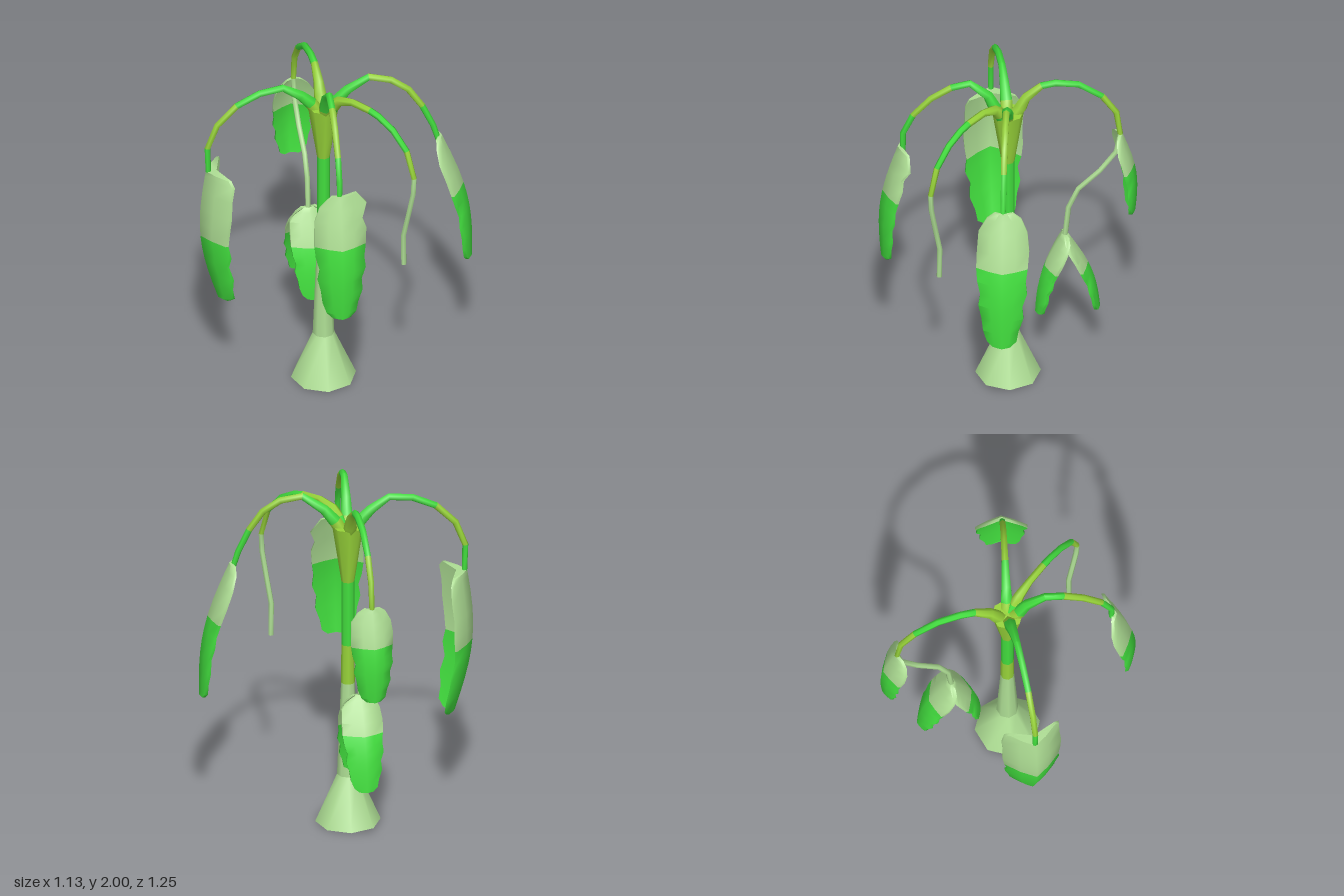
import * as THREE from 'three';
import { toCreasedNormals } from 'three/addons/utils/BufferGeometryUtils.js';

const flatColour = (name, color) => {
  const m = new THREE.MeshStandardMaterial({ color, side: THREE.DoubleSide });
  m.name = name;
  return m;
};
const pale = flatColour('pale green', 0xaede94);
const green = flatColour('bright green', 0x42de3e);
const olive = flatColour('olive green', 0x98d43a);
const materials = [pale, green, olive];
const CODE = { P: 0, G: 1, O: 2 };

// Joins closed rings of points into a smooth, capped solid; one colour letter per band
function loft(name, rings, colours) {
  const pos = [];
  const geo = new THREE.BufferGeometry();
  const tri = (...pts) => pts.forEach((p) => pos.push(p.x, p.y, p.z));
  const cap = (ring, flip) => {
    const mid = ring.reduce((s, p) => s.add(p), new THREE.Vector3()).divideScalar(ring.length);
    ring.forEach((p, j) => {
      const q = ring[(j + 1) % ring.length];
      if (flip) tri(mid, q, p); else tri(mid, p, q);
    });
  };
  for (let i = 0; i < rings.length - 1; i++) {
    const first = pos.length / 3, a = rings[i], b = rings[i + 1];
    if (i === 0) cap(a, true);
    a.forEach((p, j) => {
      const k = (j + 1) % a.length;
      tri(p, a[k], b[k]);
      tri(p, b[k], b[j]);
    });
    if (i === rings.length - 2) cap(b, false);
    geo.addGroup(first, pos.length / 3 - first, CODE[colours[i]]);
  }
  geo.setAttribute('position', new THREE.Float32BufferAttribute(pos, 3));
  const mesh = new THREE.Mesh(toCreasedNormals(geo, 1.15), materials);
  mesh.name = name;
  return mesh;
}

// Tapered stem in the local yz plane; path entries are [outward, height, radius]
function stem(name, path, colours, sides = 6) {
  const side = new THREE.Vector3(1, 0, 0);
  const pts = path.map(([r, y]) => new THREE.Vector3(0, y, r));
  const rings = pts.map((p, i) => {
    const t = pts[Math.min(i + 1, pts.length - 1)].clone().sub(pts[Math.max(i - 1, 0)]).normalize();
    const n = side.clone().cross(t);
    return Array.from({ length: sides }, (_, j) => {
      const a = (j / sides) * Math.PI * 2;
      return p.clone().addScaledVector(n, Math.cos(a) * path[i][2]).addScaledVector(side, Math.sin(a) * path[i][2]);
    });
  });
  return loft(name, rings, colours);
}

// Leaf outlines with ragged edges: [distance down, left width, right width]
const ROUND_TOP = [[0, 0.36, 0.32], [0.05, 0.68, 0.62], [0.15, 0.92, 0.93]];
const SQUARE_TOP = [[0, 0.8, 0.75], [0.04, 0.95, 0.9], [0.15, 0.95, 1]];
const UNEVEN_TOP = [[0, 0.65, 0.3], [0.1, 1.05, 0.75], [0.2, 0.86, 0.94]];
const BODY = [
  [0.28, 1, 0.98], [0.4, 0.95, 1], [0.5, 0.88, 0.95], [0.59, 0.93, 0.83], [0.68, 0.76, 0.9],
  [0.78, 0.8, 0.78], [0.88, 0.62, 0.72], [0.96, 0.55, 0.58], [1, 0.32, 0.36],
];

// Hanging leaf, folded along its midrib, pale above and bright below
function leaf(name, { height, width, out, bow, fold, split = 4, top = ROUND_TOP }) {
  const rows = [...top, ...BODY];
  const thick = 0.016;
  const rings = rows.map(([t, wl, wr]) => {
    const mid = out * t + bow * Math.sin(Math.PI * t);
    const at = (u, back) => {
      const w = u > 0 ? wl : wr;
      const z = mid - fold * w * Math.abs(u) ** 1.25 - back;
      return new THREE.Vector3(u * w * width, -t * height, z);
    };
    const us = [1, 0.5, 0, -0.5, -1];
    return [...us.map((u) => at(u, 0)), ...us.slice().reverse().map((u) => at(u, thick))];
  });
  return loft(name, rings, rows.map((_, i) => (i < split ? 'P' : 'G')));
}

export function createModel() {
  const plant = new THREE.Group();
  plant.name = 'plant';
  const AXIS_Z = -0.045;

  // Trunk sections: bottom height, top height, bottom radius, top radius, colour, open ends
  [
    ['trunkFoot', 0, 0.28, 0.18, 0.06, pale, true],
    ['lowerTrunk', 0.28, 0.83, 0.06, 0.038, pale, true],
    ['oliveTrunkBand', 0.83, 1.06, 0.038, 0.036, olive, true],
    ['greenTrunkBand', 1.06, 1.44, 0.036, 0.036, green, true],
    ['trunkCrown', 1.44, 1.77, 0.036, 0.086, olive, false],
  ].forEach(([name, y0, y1, r0, r1, mat, open]) => {
    const mesh = new THREE.Mesh(new THREE.CylinderGeometry(r1, r0, y1 - y0, 8, 1, open), mat);
    mesh.name = name;
    mesh.position.set(0, (y0 + y1) / 2, AXIS_Z);
    plant.add(mesh);
  });

  // Branches share a thick root inside the crown, then follow their own arch
  const branch = (name, dx, dz, arch, colours) => {
    const radii = [0.029, 0.021, 0.02, 0.019, 0.018, 0.017];
    const path = [[0.036, 1.745, 0.036], [0.07, 1.8, 0.036],
      ...arch.map(([r, y], i) => [r, y, radii[i] ?? 0.015])];
    const g = new THREE.Group();
    g.name = name;
    g.position.z = AXIS_Z;
    g.rotation.y = Math.atan2(dx, dz);
    g.add(stem(name + 'Stem', path, colours));
    plant.add(g);
    return g;
  };
  const hang = (g, name, y, r, options, turn = 0) => {
    const m = leaf(name, options);
    m.position.set(0, y, r);
    m.rotation.y = turn;
    g.add(m);
  };

  const backRight = branch('backRightBranch', -0.5, -0.415,
    [[0.13, 1.86], [0.23, 1.925], [0.36, 1.91], [0.49, 1.85], [0.6, 1.74], [0.655, 1.6], [0.65, 1.43]], 'OGGGGOOG');
  hang(backRight, 'backRightLeaf', 1.45, 0.665,
    { height: 0.84, width: 0.165, out: -0.07, bow: 0.065, fold: 0.12, split: 5, top: SQUARE_TOP });

  const frontRight = branch('frontRightBranch', -0.41, 0.405,
    [[0.11, 1.89], [0.21, 1.975], [0.31, 1.95], [0.42, 1.88], [0.52, 1.77], [0.575, 1.65], [0.576, 1.53]], 'OGGGOOGG');
  hang(frontRight, 'frontRightLeaf', 1.56, 0.605,
    { height: 0.74, width: 0.145, out: 0.09, bow: 0.05, fold: 0.07, top: UNEVEN_TOP });

  const frontLeft = branch('frontLeftBranch', 0.4, 0.485,
    [[0.13, 1.87], [0.25, 1.95], [0.37, 1.925], [0.465, 1.86], [0.54, 1.75], [0.6, 1.62], [0.63, 1.52]], 'OGGOOOGG');
  hang(frontLeft, 'frontLeftLeaf', 1.55, 0.65,
    { height: 0.79, width: 0.145, out: 0.165, bow: 0.055, fold: 0.06 });

  // Bare front branch, drooping to a pale tip
  branch('frontBranch', -0.012, 0.62,
    [[0.11, 1.845], [0.2, 1.872], [0.32, 1.865], [0.38, 1.85], [0.475, 1.8], [0.57, 1.7], [0.62, 1.54],
      [0.615, 1.44], [0.585, 1.3], [0.548, 1.14], [0.55, 0.95]], 'GOOOGGGOPPPP');

  // Back branch curls inwards below its first leaf and ends in a leaf pair
  const backLeft = branch('backLeftBranch', 0.39, -0.485,
    [[0.1, 1.86], [0.186, 1.93], [0.263, 1.94], [0.39, 1.915], [0.52, 1.82], [0.6, 1.7], [0.622, 1.55],
      [0.6, 1.43], [0.51, 1.31], [0.39, 1.2], [0.335, 1.08], [0.315, 0.88]], 'OOOGGGOOPPPPP');
  hang(backLeft, 'backLeftUpperLeaf', 1.55, 0.635,
    { height: 0.53, width: 0.118, out: 0.07, bow: 0.04, fold: 0.06 });
  const small = { height: 0.51, width: 0.115, bow: 0.04, fold: 0.045 };
  hang(backLeft, 'lowerOuterLeaf', 0.9, 0.335, { ...small, out: 0.175 });
  hang(backLeft, 'lowerInnerLeaf', 0.9, 0.3, { ...small, out: 0.15 }, Math.PI);

  return plant;
}
